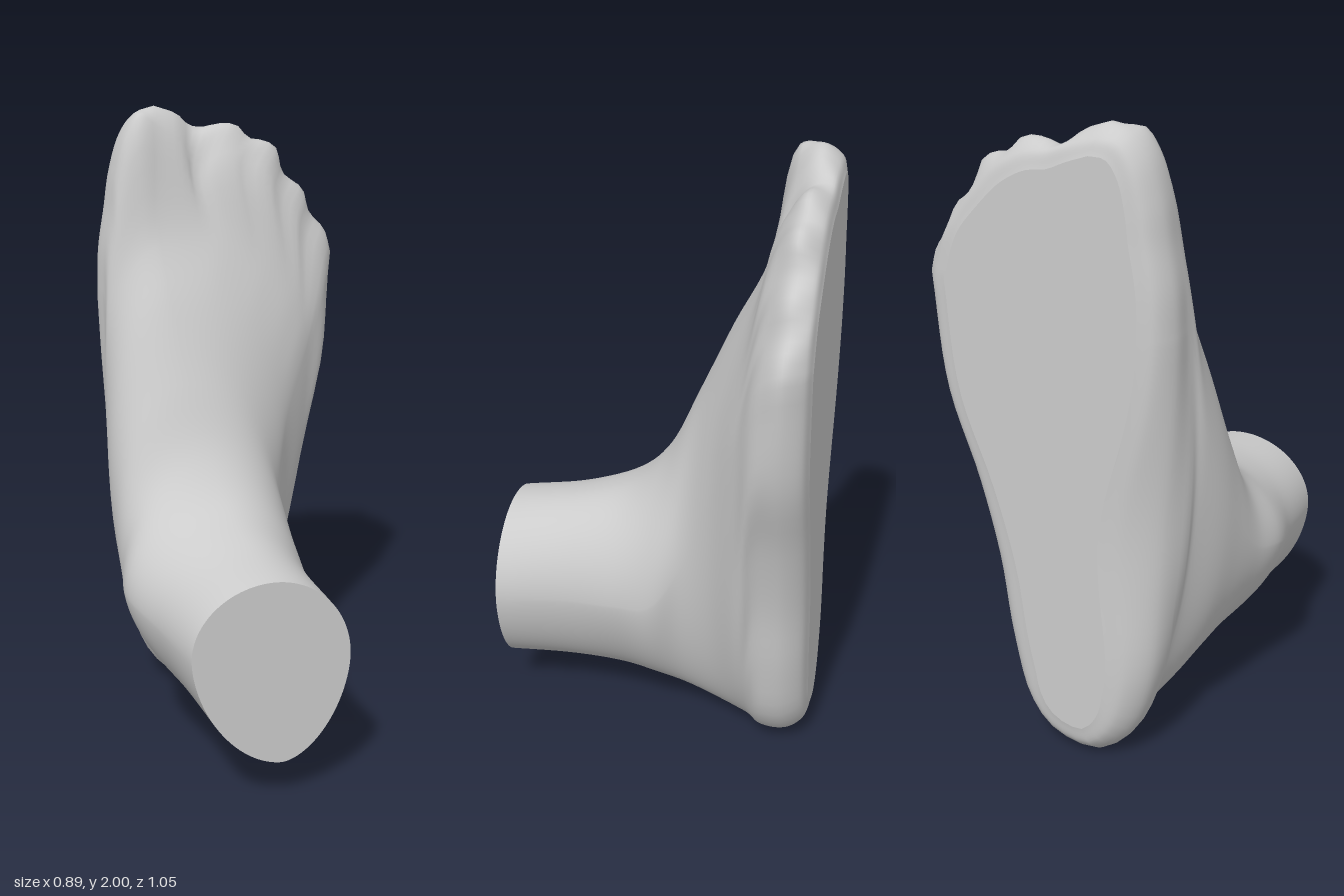
import * as THREE from 'three';

const STEPS = 28; // points per quarter of a section
const SUB = 6; // rings between two key sections

// Border pieces of the foot, running anticlockwise: outer edge, toes, inner edge
const outerEdge = [[-0.07, 0], [-0.01, 0.008], [0.07, 0.045], [0.15, 0.15], [0.205, 0.36], [0.245, 0.62], [0.31, 0.88], [0.40, 1.15], [0.445, 1.5]];
const innerFront = [[-0.17, 2], [-0.235, 1.98], [-0.285, 1.92], [-0.325, 1.8], [-0.345, 1.68], [-0.367, 1.55], [-0.375, 1.4]];
const innerBack = [[-0.375, 1.4], [-0.37, 1.1], [-0.355, 0.85], [-0.335, 0.58], [-0.30, 0.3], [-0.225, 0.1], [-0.13, 0.01], [-0.07, 0]];
// Toe line at the pads, the tips and the tops of the toes
const toePads = [[0.435, 1.5], [0.39, 1.63], [0.31, 1.75], [0.21, 1.86], [0.10, 1.925], [0, 1.945], [-0.08, 1.97], [-0.17, 1.99]];
const toeTips = [[0.445, 1.5], [0.425, 1.57], [0.37, 1.63], [0.345, 1.71], [0.275, 1.765], [0.25, 1.85], [0.21, 1.875],
  [0.155, 1.885], [0.11, 1.93], [0.05, 1.935], [-0.04, 1.918], [-0.09, 1.97], [-0.17, 2]];
const toeTops = [[0.41, 1.44], [0.38, 1.51], [0.33, 1.56], [0.305, 1.63], [0.245, 1.685], [0.21, 1.76], [0.17, 1.79],
  [0.12, 1.795], [0.09, 1.83], [0.03, 1.83], [-0.05, 1.785], [-0.10, 1.88], [-0.18, 1.945]];

// Smooth curve through a piece, without its last point
function sample(piece) {
  const curve = new THREE.CatmullRomCurve3(piece.map(([x, y]) => new THREE.Vector3(x, y, 0)));
  return curve.getSpacedPoints(STEPS).slice(0, STEPS);
}

// Section following the foot border, drawn in by inset (more at the heel) and hollowed at the arch
function borderSection(z, inset, heelInset, arch, toes) {
  const pieces = [
    [...outerEdge.slice(0, -1), toes[0]],
    toes,
    [toes[toes.length - 1], ...innerFront.slice(1)],
    innerBack,
  ];
  return pieces.flatMap(sample).map((p) => {
    const spine = new THREE.Vector3(-0.03, THREE.MathUtils.clamp(p.y, 0.3, 1.65), 0);
    const heel = 1 - THREE.MathUtils.smoothstep(p.y, 0.5, 1.4);
    const hollow = arch * Math.exp(-(((p.y - 0.8) / 0.38) ** 2));
    const inner = THREE.MathUtils.smoothstep(-p.x, 0.05, 0.3);
    p.addScaledVector(spine.sub(p).normalize(), THREE.MathUtils.lerp(inset, heelInset, heel));
    p.x += hollow * inner;
    p.z = z;
    return p;
  });
}

// Egg section through its lowest, rightmost, highest and leftmost points
function eggSection(z, bottom, right, top, left, power) {
  const points = [];
  const quarter = (a, b, upright, n) => {
    // an arc that leaves a level (or upright) and reaches b upright (or level)
    for (let i = 0; i < STEPS; i++) {
      const t = (i / STEPS) * Math.PI / 2;
      const s = Math.sin(t) ** (2 / n), c = 1 - Math.cos(t) ** (2 / n);
      const [kx, ky] = upright ? [c, s] : [s, c];
      points.push(new THREE.Vector3(a[0] + (b[0] - a[0]) * kx, a[1] + (b[1] - a[1]) * ky, z));
    }
  };
  quarter(bottom, right, false, power);
  quarter(right, top, true, 2);
  quarter(top, left, false, 2);
  quarter(left, bottom, true, power);
  return points;
}

// Skin through the key sections, from the sole to the cut of the leg
function loft(sections) {
  const count = sections[0].length;
  const rings = (sections.length - 1) * SUB;
  const tracks = sections[0].map((_, j) => new THREE.CatmullRomCurve3(sections.map((s) => s[j])).getPoints(rings));
  const positions = [], index = [];
  for (let i = 0; i <= rings; i++) {
    for (let j = 0; j < count; j++) {
      positions.push(...tracks[j][i].toArray());
      if (i === rings) continue;
      const k = (j + 1) % count;
      const a = i * count + j, b = i * count + k;
      index.push(a, b, b + count, a, b + count, a + count);
    }
  }
  const geometry = new THREE.BufferGeometry();
  geometry.setAttribute('position', new THREE.Float32BufferAttribute(positions, 3));
  geometry.setIndex(index);
  geometry.computeVertexNormals();
  return geometry;
}

// Flat lid over a section
function cap(section, backward) {
  const geometry = new THREE.ShapeGeometry(new THREE.Shape(section.map((p) => new THREE.Vector2(p.x, p.y))));
  geometry.translate(0, 0, section[0].z);
  if (backward) {
    geometry.setIndex(Array.from(geometry.index.array).reverse());
    geometry.computeVertexNormals();
  }
  return geometry;
}

export function createModel() {
  const group = new THREE.Group();
  group.name = 'foot';
  const material = new THREE.MeshStandardMaterial({ color: 0xcccccc, roughness: 0.8 });

  const sections = [
    // sole and toes
    borderSection(-0.525, 0.08, 0.11, 0.09, toePads),
    borderSection(-0.508, 0.03, 0.05, 0.07, toePads),
    borderSection(-0.45, 0, 0.005, 0.02, toeTips),
    borderSection(-0.375, 0.006, 0.006, -0.02, toeTops),
    // instep and heel
    eggSection(-0.3, [-0.07, 0.018], [0.31, 1.2], [-0.2, 1.61], [-0.392, 1.08], 1.85),
    eggSection(-0.2, [-0.07, 0.052], [0.195, 0.95], [-0.19, 1.4], [-0.412, 0.85], 1.85),
    eggSection(-0.1, [-0.07, 0.088], [0.142, 0.68], [-0.17, 1.17], [-0.42, 0.7], 1.75),
    // ankle bones
    eggSection(0, [-0.07, 0.118], [0.155, 0.52], [-0.14, 0.955], [-0.43, 0.6], 1.6),
    eggSection(0.12, [-0.075, 0.136], [0.143, 0.5], [-0.13, 0.83], [-0.45, 0.57], 1.52),
    // leg
    eggSection(0.3, [-0.08, 0.14], [0.117, 0.48], [-0.12, 0.765], [-0.4, 0.53], 1.6),
    eggSection(0.525, [-0.08, 0.135], [0.135, 0.46], [-0.12, 0.725], [-0.365, 0.51], 1.75),
  ];

  const add = (name, geometry) => {
    const mesh = new THREE.Mesh(geometry, material);
    mesh.name = name;
    group.add(mesh);
  };
  add('skin', loft(sections));
  add('sole', cap(sections[0], true));
  add('legCut', cap(sections[sections.length - 1], false));
  return group;
}
